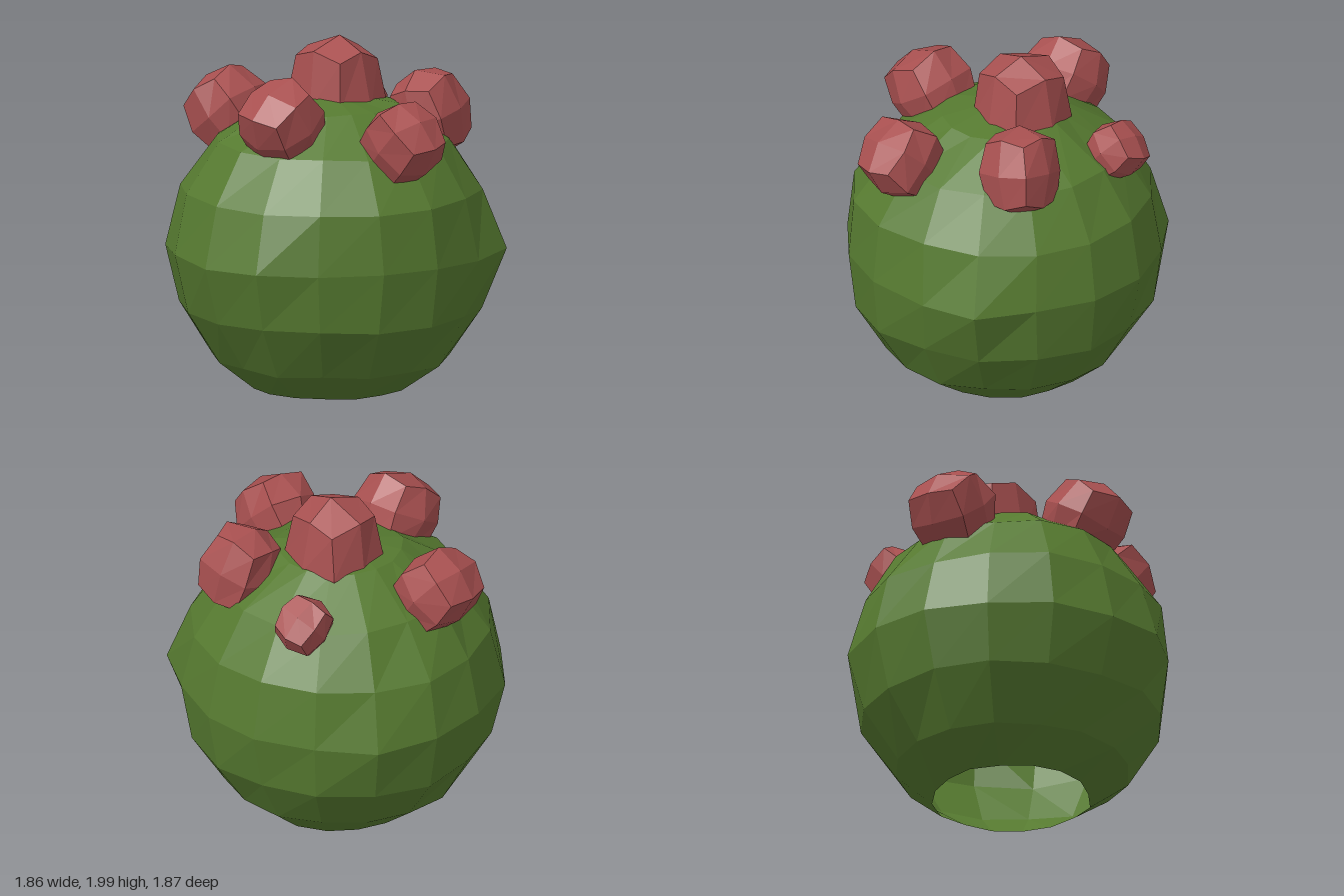
import * as THREE from 'three';
import { mergeVertices } from 'three/addons/utils/BufferGeometryUtils.js';

const SIDES = 16;
const green = new THREE.MeshStandardMaterial({ color: 0x567a30, flatShading: true, side: THREE.DoubleSide });
green.name = 'cactusGreen';
const red = new THREE.MeshStandardMaterial({ color: 0xa85050, flatShading: true });
red.name = 'budRed';

// small repeatable noise in -1..1
function makeNoise(seed) {
  let s = seed;
  return () => {
    s = (s * 16807) % 2147483647;
    return (s / 2147483647) * 2 - 1;
  };
}

// widest ring of the body as x, z pairs, going from +z towards +x
const EQUATOR = [
  [0.03, 0.93], [0.4, 0.85], [0.72, 0.72], [0.86, 0.39], [0.93, 0.03], [0.87, -0.32], [0.66, -0.62], [0.39, -0.86],
  [0.03, -0.93], [-0.32, -0.85], [-0.65, -0.65], [-0.85, -0.33], [-0.93, 0.03], [-0.86, 0.39], [-0.62, 0.65], [-0.31, 0.86],
];

// faceted round body, open underneath
function makeBody() {
  const noise = makeNoise(77);
  const rings = [[0, 0.45], [0.17, 0.675], [0.46, 0.855], [0.8, 0.93], [1.14, 0.86], [1.425, 0.665], [1.62, 0.36]];
  const pos = [], index = [];
  rings.forEach(([y, r], k) => {
    for (let i = 0; i < SIDES; i++) {
      const a = (i / SIDES) * Math.PI * 2;
      const rr = r + noise() * 0.015;
      const dy = k === 0 ? 0 : noise() * 0.012;
      if (k === 3) pos.push(EQUATOR[i][0], y + dy, EQUATOR[i][1]);
      else pos.push(Math.sin(a) * rr + 0.02, y + dy, Math.cos(a) * rr + 0.02);
    }
  });
  const pole = pos.length / 3;
  pos.push(0.01, 1.685, 0.01);
  for (let k = 0; k < rings.length; k++) {
    for (let i = 0; i < SIDES; i++) {
      const j = (i + 1) % SIDES;
      const a = k * SIDES + i, b = k * SIDES + j;
      if (k === rings.length - 1) index.push(a, b, pole);
      else index.push(a, b, b + SIDES, a, b + SIDES, a + SIDES);
    }
  }
  const g = new THREE.BufferGeometry();
  g.setAttribute('position', new THREE.Float32BufferAttribute(pos, 3));
  g.setIndex(index);
  g.computeVertexNormals();
  return g;
}

// bud: a 2x2x2 box rounded part of the way to a ball, slightly uneven
function makeBud(seed) {
  const noise = makeNoise(seed);
  const box = new THREE.BoxGeometry(2, 2, 2, 2, 2, 2);
  box.deleteAttribute('uv');
  box.deleteAttribute('normal');
  const g = mergeVertices(box);
  const p = g.attributes.position;
  const v = new THREE.Vector3();
  for (let i = 0; i < p.count; i++) {
    v.fromBufferAttribute(p, i);
    const corners = Math.round(v.lengthSq()); // 1 face centre, 2 edge, 3 corner
    v.multiplyScalar([0, 1, 0.79, 0.67][corners]);
    p.setXYZ(i, v.x + noise() * 0.05, v.y + noise() * 0.03, v.z + noise() * 0.05);
  }
  g.computeVertexNormals();
  return g;
}

// centre, half sizes, spin about its own axis, optional axis
const BUDS = [
  { name: 'topBud', at: [0.11, 1.6, -0.04], size: [0.24, 0.4, 0.26], spin: 0.12, axis: [0, 1, 0] },
  { name: 'frontBud', at: [-0.03, 1.5, 0.69], size: [0.21, 0.22, 0.22], spin: 0.15 },
  { name: 'leftBud', at: [0.535, 1.535, 0.27], size: [0.21, 0.255, 0.21], spin: 0.3, axis: [-0.13, 0.49, -0.08] },
  { name: 'rightBud', at: [-0.485, 1.595, 0.17], size: [0.23, 0.23, 0.22], spin: 0.1 },
  { name: 'backBud', at: [-0.23, 1.53, -0.58], size: [0.23, 0.23, 0.22], spin: 0.25 },
  { name: 'smallBud', at: [0.56, 1.475, -0.38], size: [0.165, 0.165, 0.15], spin: 0.2 },
];

export function createModel() {
  const model = new THREE.Group();
  model.name = 'buddingCactus';

  const body = new THREE.Mesh(makeBody(), green);
  body.name = 'body';
  model.add(body);

  const up = new THREE.Vector3(0, 1, 0);
  const core = new THREE.Vector3(0, 0.8, 0);
  BUDS.forEach(({ name, at, size, spin, axis }, i) => {
    const bud = new THREE.Mesh(makeBud(31 + i * 1009), red);
    bud.name = name;
    bud.position.set(...at);
    const dir = axis ? new THREE.Vector3(...axis) : bud.position.clone().sub(core);
    bud.quaternion.setFromUnitVectors(up, dir.normalize());
    bud.rotateY(spin);
    bud.scale.set(...size);
    model.add(bud);
  });
  return model;
}
